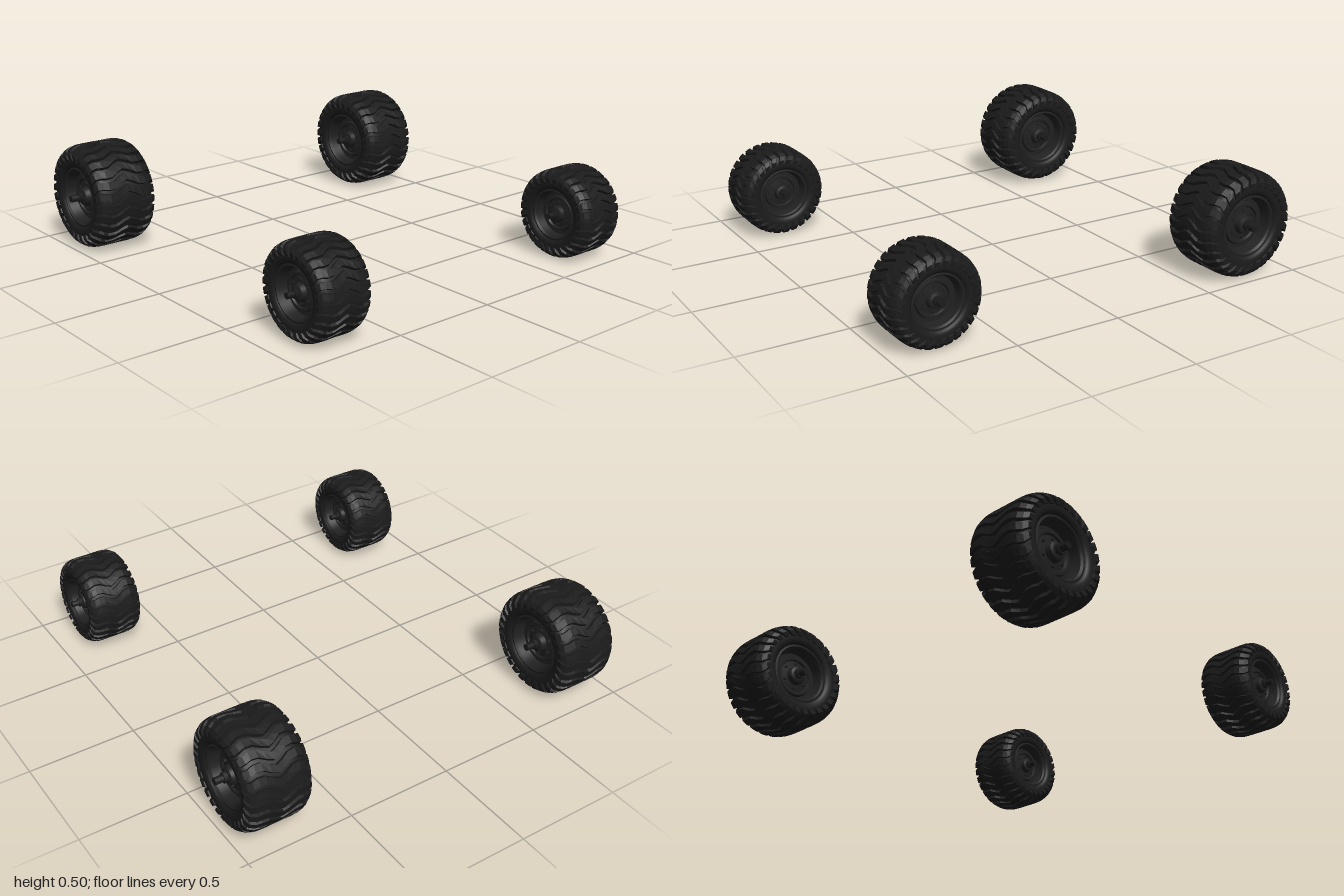
import * as THREE from 'three';

const rubber = new THREE.MeshStandardMaterial({ color: 0x1b1b1b });
rubber.name = 'rubber';
const rimPaint = new THREE.MeshStandardMaterial({ color: 0x202020 });
rimPaint.name = 'rimPaint';

const LUGS = 28;

// Half of a tread lug from the centre line to the sidewall:
// outer x, outer radius, base x, base radius, angular shift of the wave
const HALF_LUG = [
  [0.00, 1.000, 0.00, 0.925, -0.10],
  [0.12, 1.000, 0.12, 0.925, -0.05],
  [0.25, 1.000, 0.25, 0.925, 0.03],
  [0.38, 0.995, 0.37, 0.915, 0.04],
  [0.48, 0.970, 0.45, 0.890, 0.01],
  [0.57, 0.910, 0.52, 0.850, 0.00],
  [0.62, 0.830, 0.56, 0.790, 0.05],
  [0.61, 0.740, 0.56, 0.720, 0.09],
];

// Solid of revolution whose axis is x; profile points are [radius, x]
function lathe(profile, segments = 56) {
  const pts = profile.map(([r, x]) => new THREE.Vector2(r, x));
  return new THREE.LatheGeometry(pts, segments).rotateZ(-Math.PI / 2);
}

// Mirrors an outer-to-inner half profile across the wheel's middle plane
function bothSides(half) {
  return [...half.map(([r, x]) => [r, -x]).reverse(), ...half.filter(([, x]) => x > 0)];
}

// Duplicates corners so that a lathe keeps crisp edges
function crisp(profile) {
  return profile.flatMap((p, i) => (i && i < profile.length - 1 ? [p, p] : [p]));
}

// All lugs, swept across the tyre from one sidewall to the other
function treadGeometry() {
  const path = [
    ...HALF_LUG.slice(1).reverse().map(([x, r, bx, br, t]) => [-x, r, -bx, br, t]),
    ...HALF_LUG,
  ];
  const pos = [];
  const point = (x, r, a) => [x, r * Math.cos(a), r * Math.sin(a)];
  const quad = (a, b, c, d) => pos.push(...a, ...b, ...c, ...a, ...c, ...d);
  for (let i = 0; i < LUGS; i++) {
    const a0 = (i / LUGS) * Math.PI * 2;
    const rings = path.map(([x, r, bx, br, t]) => {
      const a = a0 + t;
      return [point(bx, br, a - 0.083), point(x, r, a - 0.066),
        point(x, r, a + 0.066), point(bx, br, a + 0.083)];
    });
    for (let s = 0; s < rings.length - 1; s++) {
      const p = rings[s], q = rings[s + 1];
      for (let j = 0; j < 3; j++) quad(p[j], p[j + 1], q[j + 1], q[j]);
    }
    const first = rings[0], last = rings[rings.length - 1];
    quad(first[3], first[2], first[1], first[0]);
    quad(last[0], last[1], last[2], last[3]);
  }
  const g = new THREE.BufferGeometry();
  g.setAttribute('position', new THREE.Float32BufferAttribute(pos, 3));
  g.computeVertexNormals();
  return g;
}

// Tyre body, from the tread centre round to the bead
const carcass = lathe(bothSides([
  [0.94, 0], [0.94, 0.26], [0.93, 0.38], [0.90, 0.47], [0.86, 0.535],
  [0.80, 0.575], [0.72, 0.59], [0.65, 0.585], [0.60, 0.56], [0.57, 0.52], [0.56, 0.42],
]));

// Rim face: lip, deep recess, stepped dish and hub boss
const rimFace = lathe(crisp([
  [0.58, 0.42], [0.58, 0.53], [0.54, 0.54], [0.51, 0.50], [0.47, 0.32],
  [0.40, 0.32], [0.38, 0.38], [0.33, 0.38], [0.31, 0.34], [0.18, 0.36],
  [0.16, 0.46], [0.11, 0.48], [0, 0.48],
]), 40);

const tread = treadGeometry();
const axle = new THREE.CylinderGeometry(0.065, 0.065, 1.414, 16).rotateZ(Math.PI / 2);
const nut = new THREE.CylinderGeometry(0.1, 0.1, 0.08, 6).rotateZ(Math.PI / 2);
const bolt = new THREE.CylinderGeometry(0.028, 0.028, 0.06, 6).rotateZ(Math.PI / 2);

function add(parent, name, geometry, material) {
  const mesh = new THREE.Mesh(geometry, material);
  mesh.name = name;
  parent.add(mesh);
  return mesh;
}

function makeWheel(name) {
  const wheel = new THREE.Group();
  wheel.name = name;
  add(wheel, 'tyre', carcass, rubber);
  add(wheel, 'treadLugs', tread, rubber);
  add(wheel, 'axle', axle, rubber);
  for (const side of [1, -1]) {
    const hub = new THREE.Group();
    hub.name = side > 0 ? 'leftHub' : 'rightHub';
    hub.rotation.y = side > 0 ? 0 : Math.PI;
    add(hub, 'rim', rimFace, rimPaint);
    add(hub, 'hubNut', nut, rubber).position.x = 0.51;
    // Ring of bolts round the boss
    for (let i = 0; i < 6; i++) {
      const a = (i / 6) * Math.PI * 2;
      add(hub, 'bolt', bolt, rimPaint).position.set(0.36, 0.25 * Math.cos(a), 0.25 * Math.sin(a));
    }
    wheel.add(hub);
  }
  return wheel;
}

export function createModel() {
  const model = new THREE.Group();
  model.name = 'wheelSet';
  // Two smaller wheels in front, two larger ones behind
  const axles = [
    { name: 'front', x: 0.763, z: 0.79, radius: 0.211 },
    { name: 'rear', x: 0.824, z: -0.75, radius: 0.249 },
  ];
  for (const { name, x, z, radius } of axles) {
    for (const side of [1, -1]) {
      const wheel = makeWheel(name + (side > 0 ? 'LeftWheel' : 'RightWheel'));
      wheel.scale.setScalar(radius);
      wheel.position.set(side * x, radius + 0.002, z);
      model.add(wheel);
    }
  }
  return model;
}
